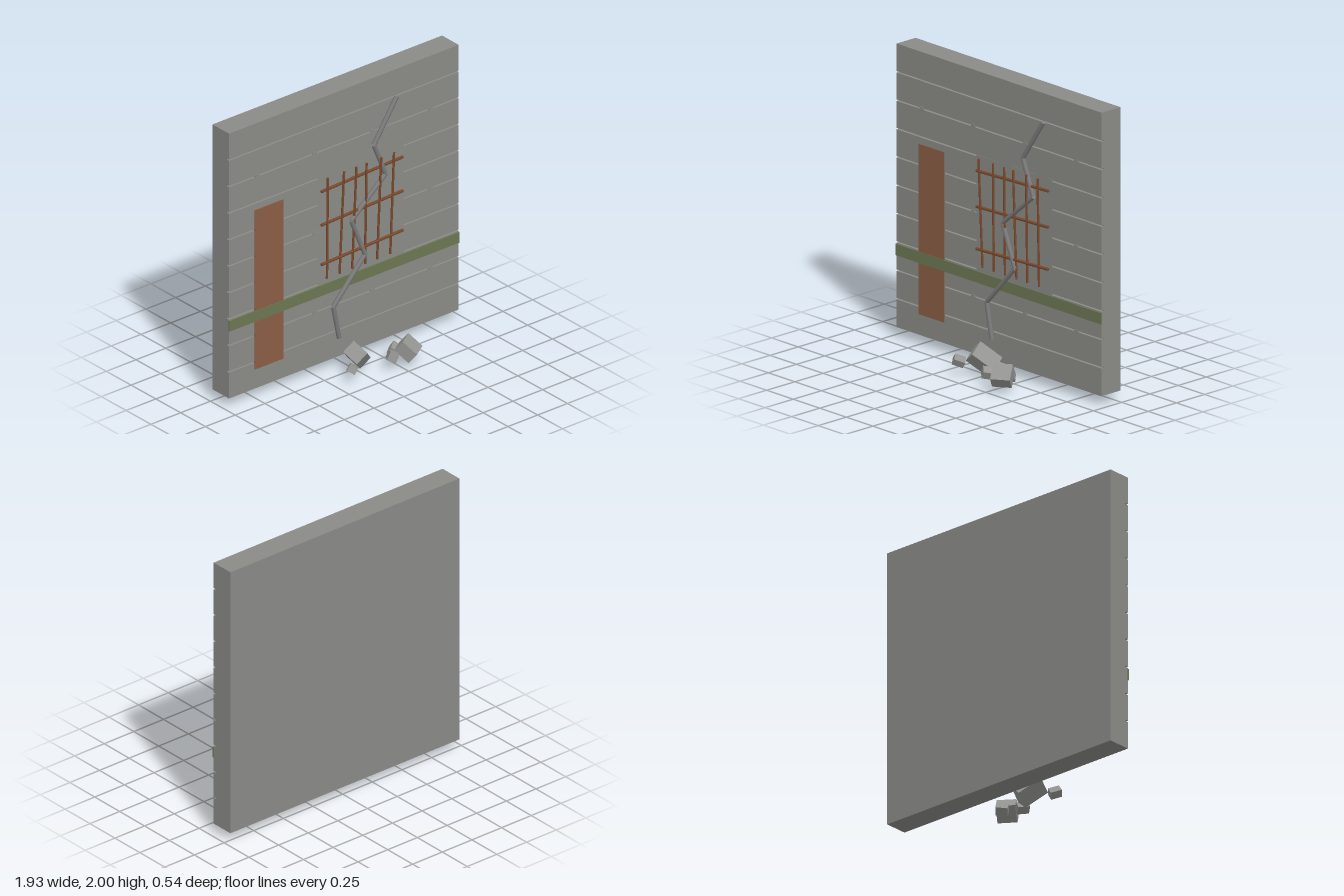
import * as THREE from 'three';

const mat = (name, color) => {
  const m = new THREE.MeshStandardMaterial({ color });
  m.name = name;
  return m;
};

export function createModel() {
  const concrete = mat('concrete', 0x8a8a87);
  const crackGrey = mat('crackGrey', 0x7c7c7c);
  const rubbleGrey = mat('rubbleGrey', 0x949492);
  const rust = mat('rust', 0x8b5e44);
  const rebarRust = mat('rebarRust', 0x7d4a2c);
  const moss = mat('moss', 0x6c7853);

  const root = new THREE.Group();
  root.name = 'damagedWall';

  const add = (name, geometry, material, x = 0, y = 0, z = 0) => {
    const m = new THREE.Mesh(geometry, material);
    m.name = name;
    m.position.set(x, y, z);
    root.add(m);
    return m;
  };

  // Box given by its minimum and maximum corners
  const block = (name, material, x0, x1, y0, y1, z0, z1) =>
    add(name, new THREE.BoxGeometry(x1 - x0, y1 - y0, z1 - z0), material,
      (x0 + x1) / 2, (y0 + y1) / 2, (z0 + z1) / 2);

  // Straight bar between two points
  const UP = new THREE.Vector3(0, 1, 0);
  const bar = (name, material, a, b, radius, sides) => {
    const p = new THREE.Vector3(...a), q = new THREE.Vector3(...b);
    const d = q.clone().sub(p);
    const m = add(name, new THREE.CylinderGeometry(radius, radius, d.length(), sides), material);
    m.position.copy(p).add(q).multiplyScalar(0.5);
    m.quaternion.setFromUnitVectors(UP, d.normalize());
  };

  // Wall: core slab faced with ten cast courses separated by narrow grooves
  const W = 0.965, pitch = 0.193, gap = 0.01;
  block('wallCore', concrete, -W, W, 0.07, 2, -0.272, -0.125);
  for (let i = 0; i < 10; i++) {
    const y = 0.07 + i * pitch;
    block('wallCourse', concrete, -W, W, y + (i ? gap / 2 : 0), y + pitch - (i < 9 ? gap / 2 : 0), -0.125, -0.104);
  }

  // Smooth patch behind the exposed bars
  block('barePatch', concrete, -0.21, 0.5, 0.64, 1.43, -0.108, -0.1025);

  // Formwork tie marks
  for (const y of [0.453, 1.03, 1.613])
    for (const x of [-0.728, -0.243, 0.243, 0.728]) {
      const m = add('tieMark', new THREE.CylinderGeometry(0.018, 0.018, 0.012, 12), concrete, x, y, -0.1075);
      m.rotation.x = Math.PI / 2;
    }

  // Rust stain and the moss band crossing it
  block('rustStain', rust, -0.752, -0.512, 0.21, 1.37, -0.106, -0.1);
  block('mossBand', moss, -W - 0.002, W + 0.002, 0.56, 0.637, -0.106, -0.097);

  // Exposed reinforcement grid: [bottom x, top x]
  const verticals = [[-0.148, -0.16], [-0.042, -0.024], [0.064, 0.08], [0.172, 0.165], [0.274, 0.288], [0.384, 0.396]];
  for (const [x0, x1] of verticals)
    bar('verticalRebar', rebarRust, [x0, 0.675, -0.097], [x1, 1.42, -0.073], 0.008, 6);
  for (const [y0, y1] of [[0.793, 0.819], [1.081, 1.106], [1.325, 1.353]])
    bar('horizontalRebar', rebarRust, [-0.2, y0, -0.092], [0.483, y1, -0.088], 0.01, 6);

  // Zigzag crack
  const crack = [[0.432, 1.808], [0.24, 1.52], [0.338, 1.278], [0.05, 1.032], [0.165, 0.748], [-0.1, 0.455], [-0.052, 0.212]];
  for (let i = 1; i < crack.length; i++)
    bar('crackSegment', crackGrey, [...crack[i - 1], -0.09], [...crack[i], -0.09], 0.016, 8);

  // Tumbled rubble: centre, size, direction of the first edge, rough direction of the second
  const rubble = [
    [[0, 0.118, 0.028], [0.178, 0.1, 0.122], [0.114, -0.113, -0.101], [0.078, 0.0645, 0.016]],
    [[0.318, 0.115, 0.165], [0.13, 0.09, 0.124], [0.108, 0, -0.073], [0.032, 0.069, 0.048]],
    [[-0.125, 0.1, 0.133], [0.076, 0.05, 0.058], [0.6, -0.35, -0.72], [0.5, 0.8, 0.1]],
    [[0.185, 0.1, 0.165], [0.08, 0.056, 0.062], [0.55, -0.2, -0.8], [0.45, 0.85, 0.1]],
    [[0.277, 0.082, 0.072], [0.08, 0.058, 0.064], [0.8, 0.15, -0.58], [0.2, 0.8, 0.5]],
  ];
  for (const [c, size, u, v] of rubble) {
    const X = new THREE.Vector3(...u).normalize();
    const Z = X.clone().cross(new THREE.Vector3(...v)).normalize();
    const Y = Z.clone().cross(X);
    const m = add('rubble', new THREE.BoxGeometry(...size), rubbleGrey, ...c);
    m.quaternion.setFromRotationMatrix(new THREE.Matrix4().makeBasis(X, Y, Z));
  }

  return root;
}
